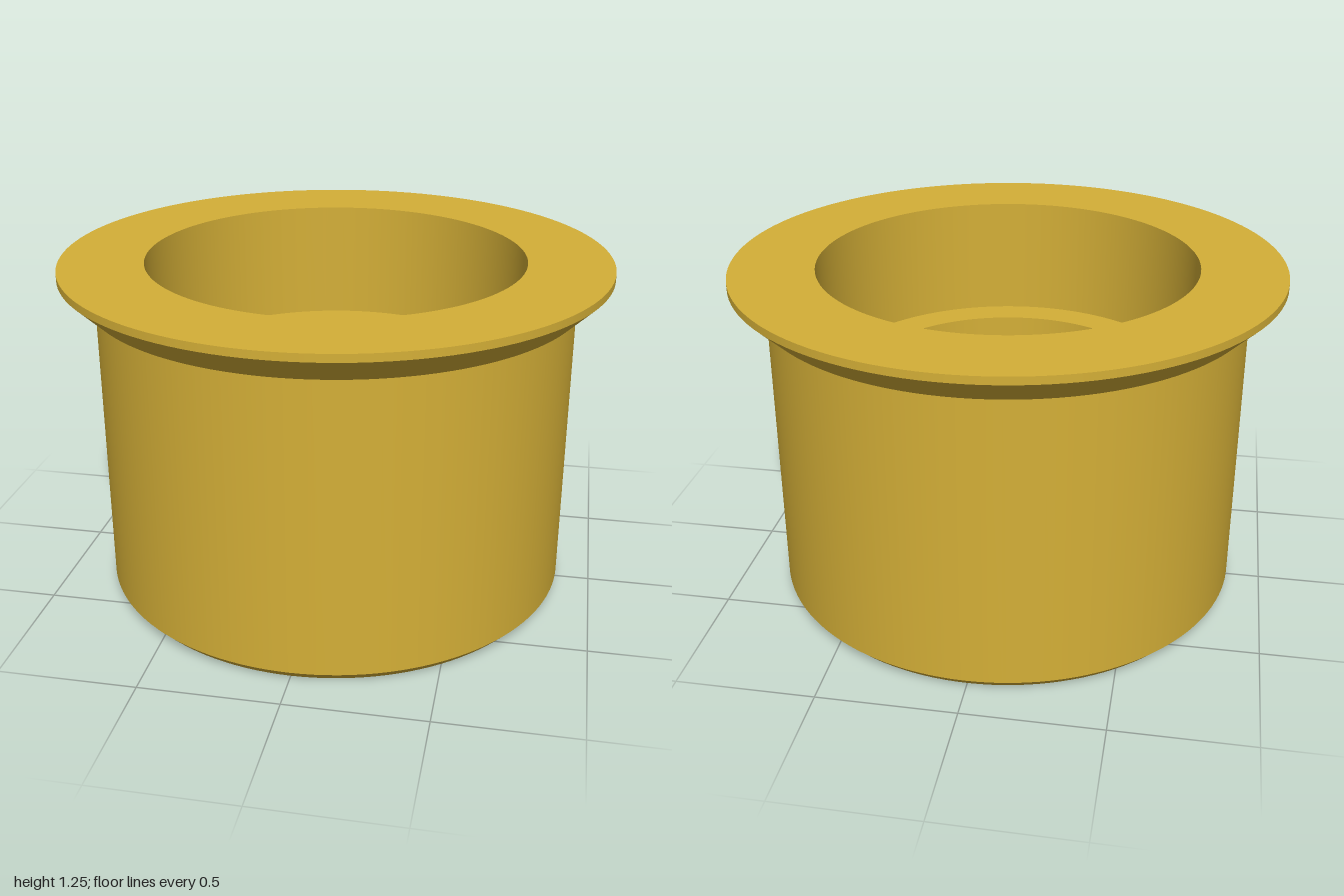
import * as THREE from 'three';
import { mergeGeometries } from 'three/addons/utils/BufferGeometryUtils.js';

const SEGMENTS = 128;

// Revolves an open profile; each straight run is its own band, so edges stay crisp.
// Profiles run upwards on the outside and downwards on the inside.
function revolve(name, profile, material) {
  const bands = [];
  for (let i = 0; i < profile.length - 1; i++) {
    const run = [profile[i], profile[i + 1]].map(([r, y]) => new THREE.Vector2(r, y));
    bands.push(new THREE.LatheGeometry(run, SEGMENTS));
  }
  const mesh = new THREE.Mesh(mergeGeometries(bands), material);
  mesh.name = name;
  return mesh;
}

export function createModel() {
  const brass = new THREE.MeshStandardMaterial({ color: 0xd4af37 });
  brass.name = 'brass';

  const bore = 0.692, hole = 0.565, wall = 0.873;
  const top = 1.25, flangeBase = 1.13, webTop = 0.8, webBase = 0.67;

  const group = new THREE.Group();
  group.name = 'flangedBushing';
  group.add(
    // bottom rim, chamfer and outer wall
    revolve('sleeve', [[bore, 0], [0.838, 0], [wall, 0.037], [wall, flangeBase]], brass),
    // underside step, bevel, thin edge and top face
    revolve('flange', [[wall, flangeBase], [0.905, flangeBase], [1, 1.222], [1, top], [bore, top]], brass),
    // bore above the web
    revolve('upperBore', [[bore, top], [bore, webTop]], brass),
    // inner ring narrowing the bore
    revolve('innerWeb', [[bore, webTop], [hole, webTop], [hole, webBase], [bore, webBase]], brass),
    // bore below the web
    revolve('lowerBore', [[bore, webBase], [bore, 0]], brass)
  );
  return group;
}
